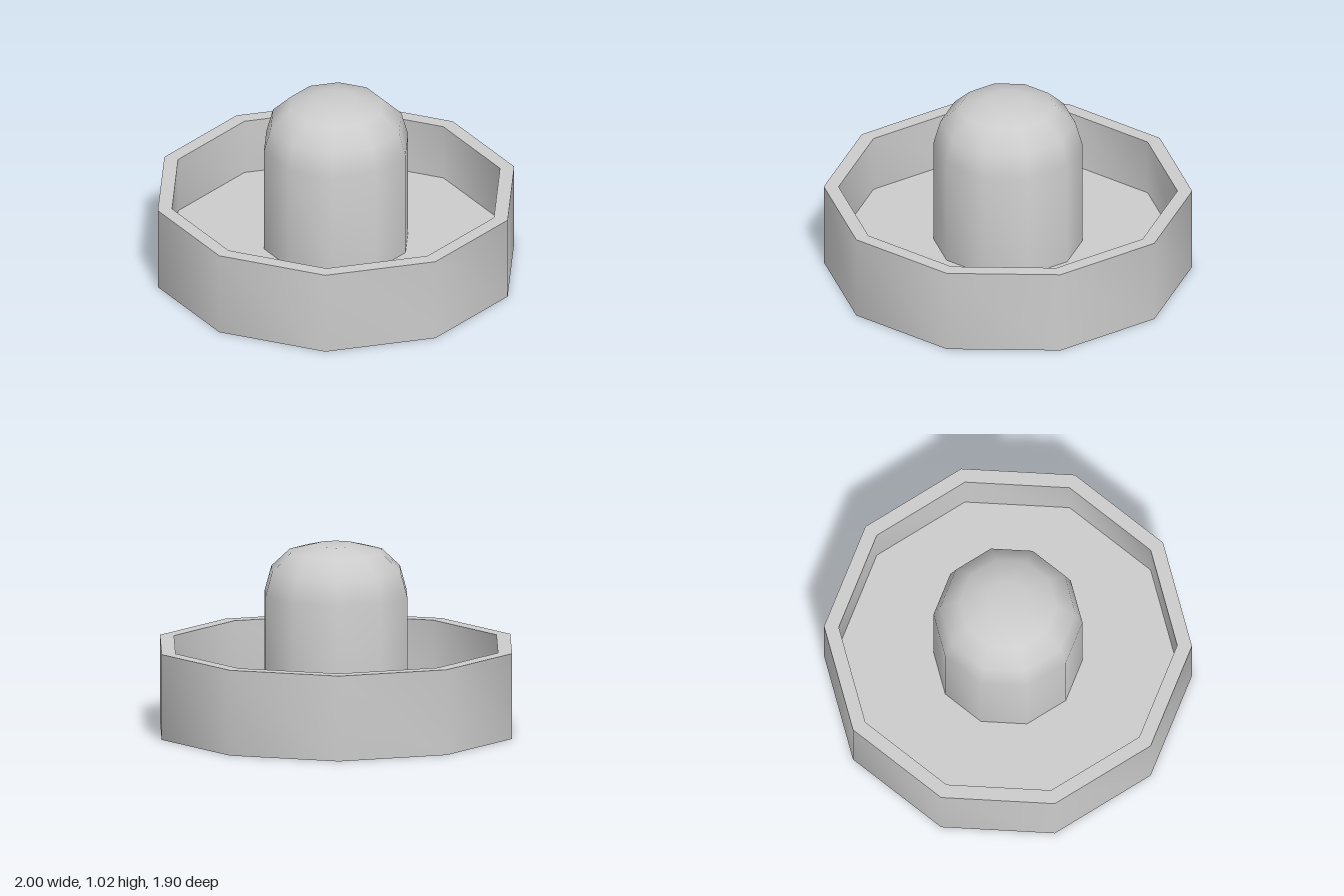
import * as THREE from 'three';
import { toCreasedNormals } from 'three/addons/utils/BufferGeometryUtils.js';

const SIDES = 10;
const FLOOR = 0.155;
const material = new THREE.MeshStandardMaterial({ color: 0xcccccc });

// Ten-sided turned part with a corner on the x axis; smooth around, sharp at rims
function turned(name, profile) {
  const points = profile.map(([r, y]) => new THREE.Vector2(r, y));
  const lathe = new THREE.LatheGeometry(points, SIDES, Math.PI / 2);
  const mesh = new THREE.Mesh(toCreasedNormals(lathe, 0.75), material);
  mesh.name = name;
  return mesh;
}

export function createModel() {
  const group = new THREE.Group();
  group.name = 'strikerMallet';

  // Shallow dish with a raised rim
  group.add(turned('dish', [
    [0, 0], [1, 0], [1, 0.47], [0.92, 0.47], [0.92, FLOOR], [0, FLOOR],
  ]));

  // Grip: straight post, rounded shoulder, small flat top
  const grip = [[0.405, FLOOR]];
  for (let i = 0; i <= 3; i++) {
    const a = (i * Math.PI) / 6;
    grip.push([0.12 + 0.285 * Math.cos(a), 0.75 + 0.27 * Math.sin(a)]);
  }
  grip.push([0, 1.02]);
  group.add(turned('grip', grip));

  return group;
}
